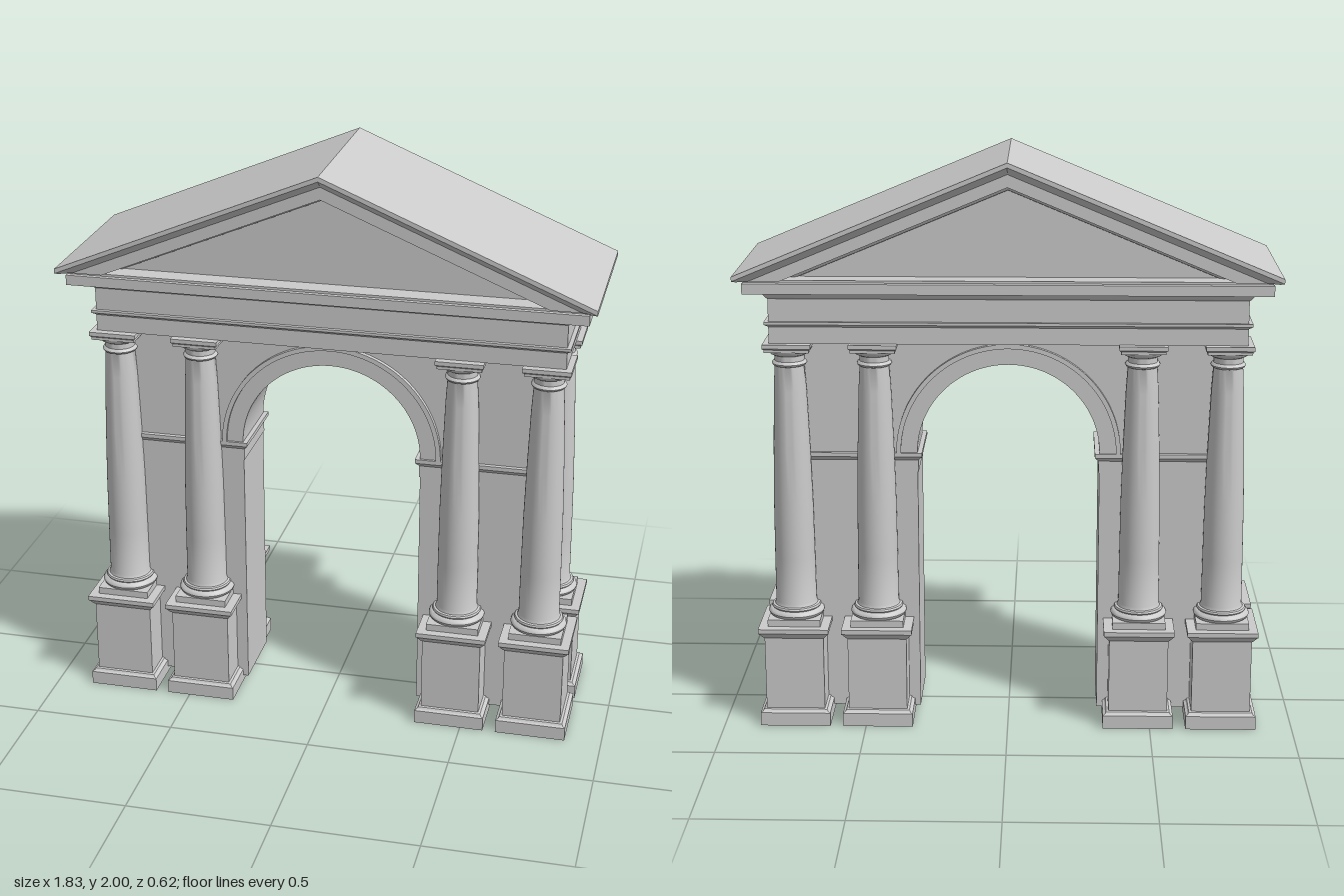
import * as THREE from 'three';
import { toCreasedNormals } from 'three/addons/utils/BufferGeometryUtils.js';

const material = new THREE.MeshStandardMaterial({ color: 0xcccccc });

// Joins horizontal rings (counter-clockwise from above, bottom to top) into a closed solid
function loft(rings) {
  const pos = [];
  const tri = (...pts) => pts.forEach((p) => pos.push(...p));
  const n = rings[0].length;
  for (let i = 0; i + 1 < rings.length; i++) {
    for (let j = 0; j < n; j++) {
      const k = (j + 1) % n, lo = rings[i], hi = rings[i + 1];
      tri(lo[j], lo[k], hi[k]);
      tri(lo[j], hi[k], hi[j]);
    }
  }
  const bottom = rings[0], top = rings[rings.length - 1];
  for (let j = 1; j < n - 1; j++) {
    const a = (1 + j) % n, b = (2 + j) % n;
    tri(top[1], top[a], top[b]);
    tri(bottom[1], bottom[b], bottom[a]);
  }
  const geo = new THREE.BufferGeometry();
  geo.setAttribute('position', new THREE.Float32BufferAttribute(pos, 3));
  geo.computeVertexNormals();
  return geo;
}

// Rectangular block with a moulded outline; profile is [projection, height]
function moulded(hx, hz, profile) {
  return loft(profile.map(([out, y]) => {
    const x = hx + out, z = hz + out;
    return [[-x, y, z], [x, y, z], [x, y, -z], [-x, y, -z]];
  }));
}

// Front-to-back extrusion centred on z = 0
function extruded(shape, halfDepth) {
  const geo = new THREE.ExtrudeGeometry(shape, { depth: halfDepth * 2, bevelEnabled: false, curveSegments: 40 });
  geo.translate(0, 0, -halfDepth);
  return toCreasedNormals(geo, 0.5);
}

function add(parent, name, geo, x = 0, z = 0) {
  const mesh = new THREE.Mesh(geo, material);
  mesh.name = name;
  mesh.position.set(x, 0, z);
  parent.add(mesh);
}

export function createModel() {
  const model = new THREE.Group();
  model.name = 'triumphalArch';

  const openR = 0.315, springY = 0.97, wallX = 0.731, wallZ = 0.13, wallBase = 0.024;

  // Wall with arched opening
  const wall = new THREE.Shape();
  wall.moveTo(-wallX, wallBase);
  wall.lineTo(-openR, wallBase);
  wall.lineTo(-openR, springY);
  wall.absarc(0, springY, openR, Math.PI, 0, true);
  wall.lineTo(openR, wallBase);
  wall.lineTo(wallX, wallBase);
  wall.lineTo(wallX, 1.375);
  wall.lineTo(-wallX, 1.375);
  add(model, 'wall', extruded(wall, wallZ));

  // Archivolt: flat band and raised outer fillet
  for (const [name, r0, r1, hz] of [['archivoltBand', openR, 0.375, 0.137], ['archivoltFillet', 0.372, 0.388, 0.147]]) {
    const band = new THREE.Shape();
    band.absarc(0, springY, r1, 0, Math.PI, false);
    band.absarc(0, springY, r0, Math.PI, 0, true);
    add(model, name, extruded(band, hz));
  }

  // Imposts wrapping each pier
  const impost = moulded((wallX - openR) / 2, wallZ, [
    [0.003, 0.9], [0.003, 0.942], [0.012, 0.952], [0.016, 0.956], [0.016, 0.97],
  ]);
  for (const s of [-1, 1]) add(model, 'impost', impost, s * (wallX + openR) / 2);

  // Columns on pedestals
  const pedestal = moulded(0.103, 0.103, [
    [0.02, 0], [0.02, 0.048], [0.012, 0.052], [0.008, 0.058], [0, 0.06], [0, 0.322],
    [0.006, 0.328], [0.016, 0.342], [0.02, 0.345], [0.02, 0.361],
  ]);
  const plinth = moulded(0.092, 0.092, [[0, 0.361], [0, 0.385]]);
  const abacus = moulded(0.076, 0.076, [[0, 1.342], [0, 1.352], [0.006, 1.357], [0.006, 1.371]]);
  const shaft = toCreasedNormals(new THREE.LatheGeometry([
    [0, 0.384], [0.089, 0.384], [0.095, 0.389], [0.098, 0.397], [0.095, 0.405], [0.088, 0.41],
    [0.083, 0.411], [0.086, 0.416], [0.083, 0.422], [0.075, 0.424], [0.071, 0.435],
    [0.07, 0.6], [0.068, 0.8], [0.063, 1.0], [0.056, 1.2], [0.051, 1.285],
    [0.057, 1.288], [0.06, 1.294], [0.057, 1.3], [0.051, 1.303], [0.051, 1.322],
    [0.057, 1.324], [0.065, 1.328], [0.072, 1.336], [0.075, 1.344], [0, 1.344],
  ].map(([r, y]) => new THREE.Vector2(r, y)), 40), 0.7);
  for (const x of [-0.749, -0.458, 0.458, 0.749]) {
    for (const z of [-0.147, 0.147]) {
      const column = new THREE.Group();
      column.name = 'column';
      column.position.set(x, 0, z);
      add(column, 'pedestal', pedestal);
      add(column, 'plinth', plinth);
      add(column, 'shaft', shaft);
      add(column, 'abacus', abacus);
      model.add(column);
    }
  }

  // Entablature: architrave, frieze and horizontal cornice
  add(model, 'entablature', moulded(0.81, 0.202, [
    [0, 1.37], [0, 1.428], [0.005, 1.432], [0.014, 1.438], [0.014, 1.447], [0, 1.447], [0, 1.525],
    [0.006, 1.53], [0.014, 1.542], [0.018, 1.546], [0.018, 1.555], [0.075, 1.555],
    [0.075, 1.59], [0.07, 1.594], [0.07, 1.602],
  ]));

  // Gabled roof with raking cornice; profile is [drop below roof surface, z projection]
  const apexY = 2, slope = 0.416, seatY = 1.6, eaveX = 0.913;
  add(model, 'roof', loft([
    [0.107, 0.195], [0.104, 0.208], [0.088, 0.218], [0.085, 0.28], [0.042, 0.28],
    [0.036, 0.285], [0.026, 0.298], [0.016, 0.31], [0, 0.31],
  ].map(([drop, z]) => {
    const peak = apexY - drop;
    const x = Math.min(eaveX, (peak - seatY) / slope), y = peak - slope * x;
    return [[-x, y, z], [0, peak, z], [x, y, z], [x, y, -z], [0, peak, -z], [-x, y, -z]];
  })));

  // Tympanum filling both gables
  const gable = new THREE.Shape();
  const gableX = (apexY - 0.1 - seatY) / slope;
  gable.moveTo(-gableX, seatY);
  gable.lineTo(gableX, seatY);
  gable.lineTo(0, apexY - 0.1);
  add(model, 'tympanum', extruded(gable, 0.2));

  return model;
}
